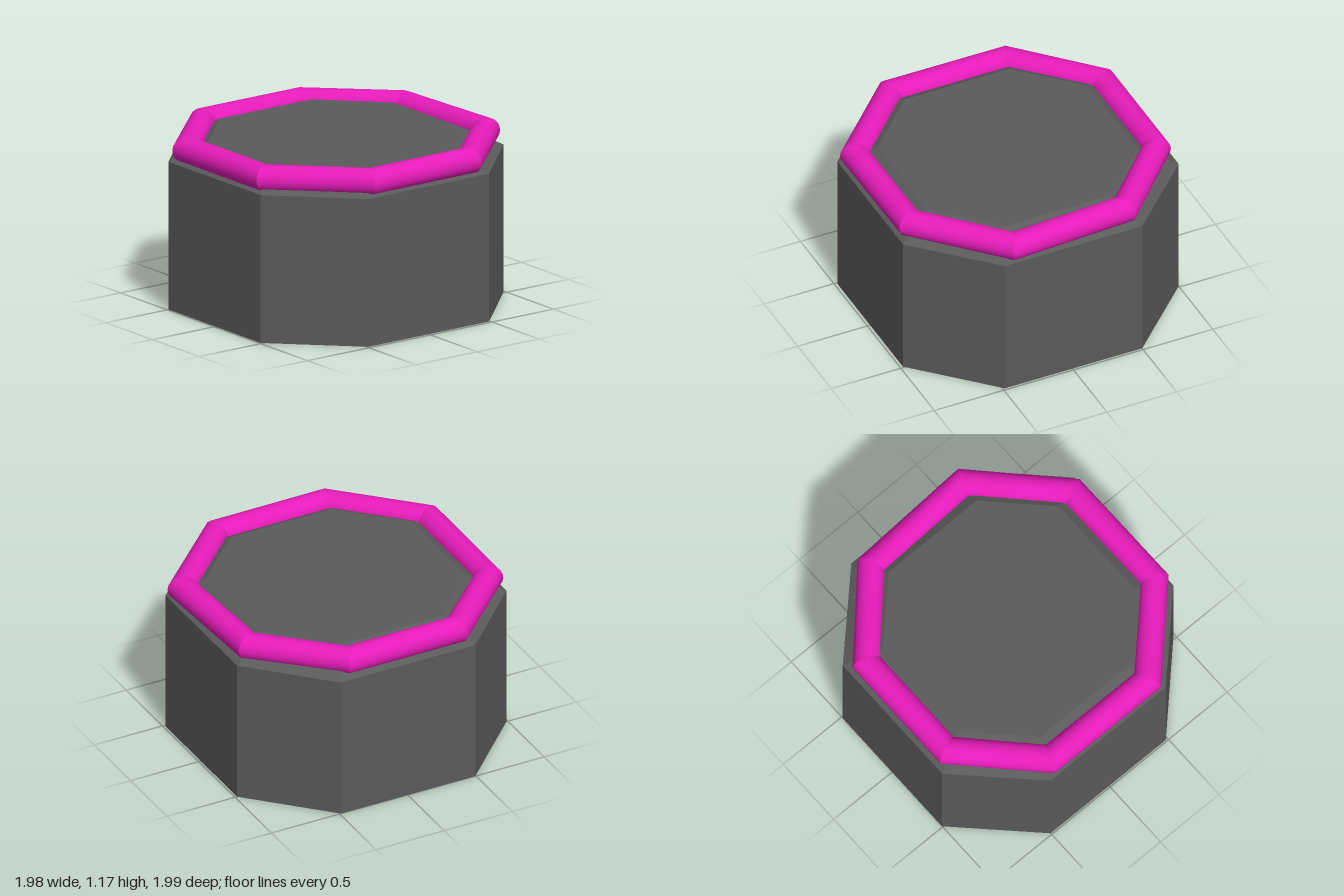
import * as THREE from 'three';

// Octagon corners [x, z], counter-clockwise seen from above
const OUTLINE = [[-0.5, 0.99], [0.485, 0.99], [0.98, 0.49], [0.98, -0.49],
  [0.485, -0.985], [-0.5, -0.985], [-1, -0.49], [-1, 0.495]];

// Slightly uneven centre line of the rim
const RIM = [[-0.425, 0.897], [0.405, 0.9], [0.893, 0.405], [0.888, -0.395],
  [0.39, -0.91], [-0.43, -0.868], [-0.89, -0.38], [-0.89, 0.415]];
const RIM_Y = 1.077, RIM_R = 0.09, RIM_SIDES = 20;

function meshFrom(name, positions, index, material) {
  let geometry = new THREE.BufferGeometry();
  geometry.setAttribute('position', new THREE.Float32BufferAttribute(positions, 3));
  geometry.setIndex(index);
  if (material.flatShading) geometry = geometry.toNonIndexed();
  geometry.computeVertexNormals();
  const mesh = new THREE.Mesh(geometry, material);
  mesh.name = name;
  return mesh;
}

// Flat-sided block: stacked octagon levels closed by two caps
function createBody(material) {
  const levels = [[0, 1], [0.995, 1], [1.12, 0.76]]; // [height, scale]
  const n = OUTLINE.length, positions = [], index = [];
  for (const [y, s] of levels) {
    for (const [x, z] of OUTLINE) positions.push(x * s, y, z * s);
  }
  for (let k = 0; k < levels.length - 1; k++) {
    for (let i = 0; i < n; i++) {
      const a = k * n + i, b = k * n + (i + 1) % n;
      index.push(a, b, b + n, a, b + n, a + n);
    }
  }
  const top = (levels.length - 1) * n;
  for (let i = 1; i < n - 1; i++) {
    index.push(top, top + i, top + i + 1);
    index.push(0, i + 1, i);
  }
  return meshFrom('body', positions, index, material);
}

// Round rim: eight straight tubes, mitred where they meet
function createRim(material) {
  const rim = new THREE.Group();
  rim.name = 'rim';
  const n = RIM.length;
  const points = RIM.map(([x, z]) => new THREE.Vector2(x, z));
  const normals = points.map((p, i) => {
    const d = points[(i + 1) % n].clone().sub(p).normalize();
    return new THREE.Vector2(-d.y, d.x);
  });
  const mitres = normals.map((b, i) => {
    const a = normals[(i + n - 1) % n];
    return a.clone().add(b).divideScalar(1 + a.dot(b));
  });
  for (let i = 0; i < n; i++) {
    const positions = [], index = [];
    for (const c of [i, (i + 1) % n]) {
      for (let j = 0; j < RIM_SIDES; j++) {
        const t = (j / RIM_SIDES) * Math.PI * 2;
        const out = RIM_R * Math.cos(t);
        positions.push(points[c].x + mitres[c].x * out,
          RIM_Y + RIM_R * Math.sin(t),
          points[c].y + mitres[c].y * out);
      }
    }
    for (let j = 0; j < RIM_SIDES; j++) {
      const k = (j + 1) % RIM_SIDES;
      index.push(j, RIM_SIDES + j, RIM_SIDES + k, j, RIM_SIDES + k, k);
    }
    rim.add(meshFrom('rimSegment' + (i + 1), positions, index, material));
  }
  return rim;
}

export function createModel() {
  const model = new THREE.Group();
  model.name = 'octagonalBlockWithRim';
  model.add(createBody(new THREE.MeshStandardMaterial({ color: 0x5a5a5a, flatShading: true })));
  model.add(createRim(new THREE.MeshStandardMaterial({ color: 0xe61cba })));
  return model;
}
